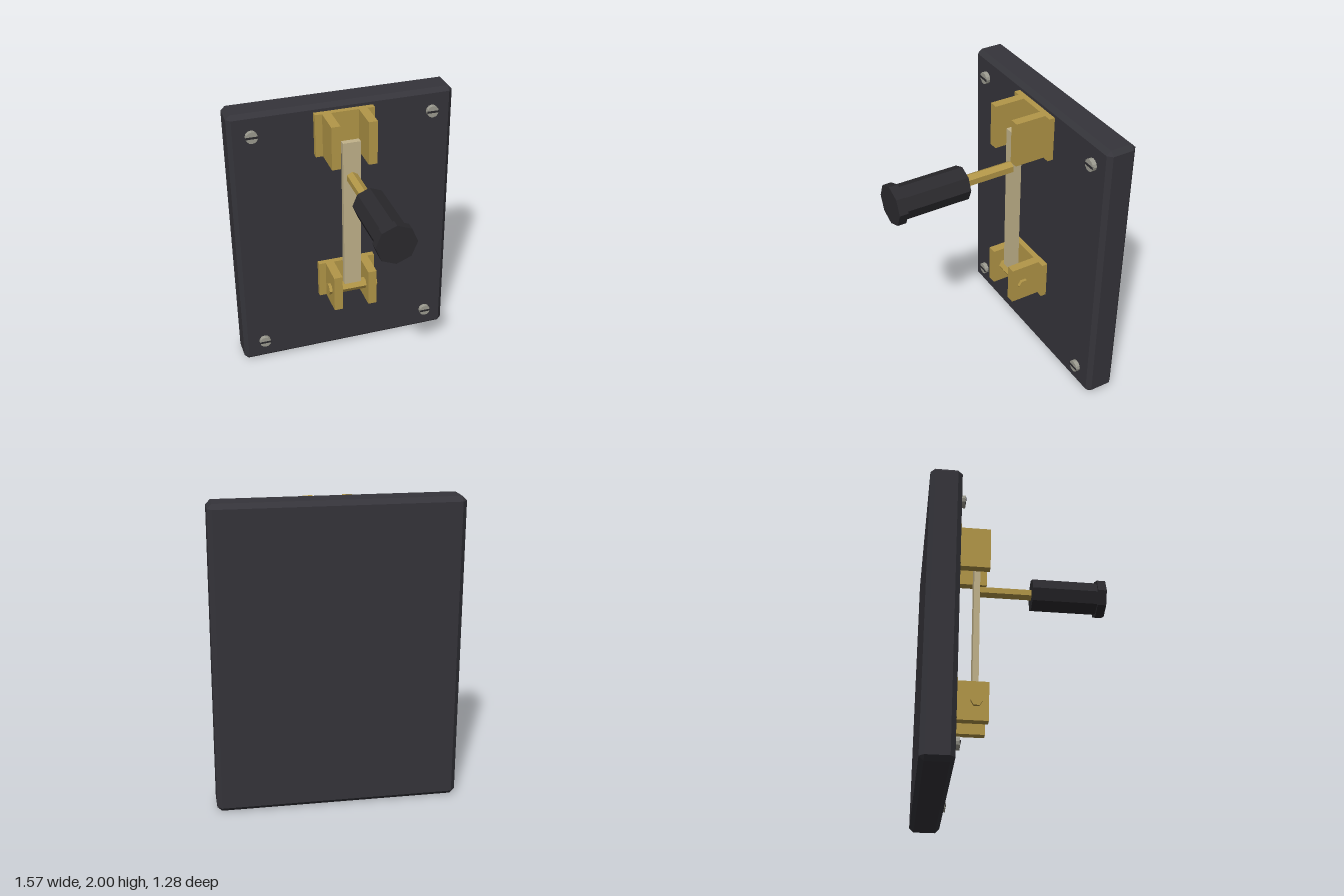
import * as THREE from 'three';
import { ConvexGeometry } from 'three/addons/geometries/ConvexGeometry.js';

const mat = (name, color) => new THREE.MeshStandardMaterial({ name, color, flatShading: true });

export function createModel() {
  const slate = mat('slate', 0x35343a);
  const black = mat('handleBlack', 0x2b2a2e);
  const brass = mat('brass', 0xb39748);
  const blade = mat('paleMetal', 0xc2b38b);
  const steel = mat('steel', 0x9c9b90);

  const model = new THREE.Group();
  model.name = 'knifeSwitch';

  const add = (parent, name, geo, material, x, y, z) => {
    const m = new THREE.Mesh(geo, material);
    m.name = name;
    m.position.set(x, y, z);
    parent.add(m);
    return m;
  };
  const group = (name, x, y, z) => {
    const g = new THREE.Group();
    g.name = name;
    g.position.set(x, y, z);
    model.add(g);
    return g;
  };
  const box = (w, h, d) => new THREE.BoxGeometry(w, h, d);
  // Prism lying along z
  const rod = (r, len, sides) => new THREE.CylinderGeometry(r, r, len, sides).rotateX(Math.PI / 2);

  // Base board with every edge and corner chamfered
  const [hx, hy, hz, c] = [0.787, 1, 0.105, 0.03];
  const corners = [];
  for (const sx of [-1, 1]) for (const sy of [-1, 1]) for (const sz of [-1, 1]) {
    corners.push(
      new THREE.Vector3(sx * hx, sy * (hy - c), sz * (hz - c)),
      new THREE.Vector3(sx * (hx - c), sy * hy, sz * (hz - c)),
      new THREE.Vector3(sx * (hx - c), sy * (hy - c), sz * hz));
  }
  add(model, 'baseBoard', new ConvexGeometry(corners), slate, 0, 1, -0.535);

  // Slotted screws in the four corners
  for (const x of [-0.632, 0.632]) for (const y of [0.16, 1.845]) {
    const screw = group('screw', x, y, -0.43);
    add(screw, 'screwHead', rod(0.042, 0.032, 12), steel, 0, 0, 0.014);
    add(screw, 'screwSlot', box(0.082, 0.014, 0.008), black, 0, 0, 0.03);
  }

  // Brass brackets: back plate with two cheeks
  const bracket = (name, y0, y1) => {
    const h = y1 - y0;
    const g = group(name, 0, (y0 + y1) / 2, 0);
    add(g, 'bracketPlate', box(0.416, h, 0.042), brass, 0, 0, -0.411);
    for (const s of [-1, 1]) add(g, 'bracketCheek', box(0.062, h, 0.212), brass, s * 0.127, 0, -0.286);
  };
  bracket('hingeBracket', 0.5, 0.775);
  bracket('contactBracket', 1.64, 1.95);

  // Hinge pin, along x
  add(model, 'hingePin', new THREE.CylinderGeometry(0.04, 0.04, 0.358, 6).rotateZ(Math.PI / 2),
    brass, 0, 0.635, -0.263);

  // Switch blade
  add(model, 'blade', box(0.124, 1.16, 0.042), blade, 0, 1.21, -0.263);

  // Handle: brass stem, octagonal grip and end cap
  const handle = group('handle', 0, 1.53, 0);
  add(handle, 'stem', rod(0.042, 0.385, 6), brass, 0, 0, -0.0575);
  add(handle, 'grip', rod(0.116, 0.46, 8), black, 0, 0, 0.353);
  add(handle, 'endCap', rod(0.137, 0.06, 8), black, 0, 0, 0.61);

  return model;
}
